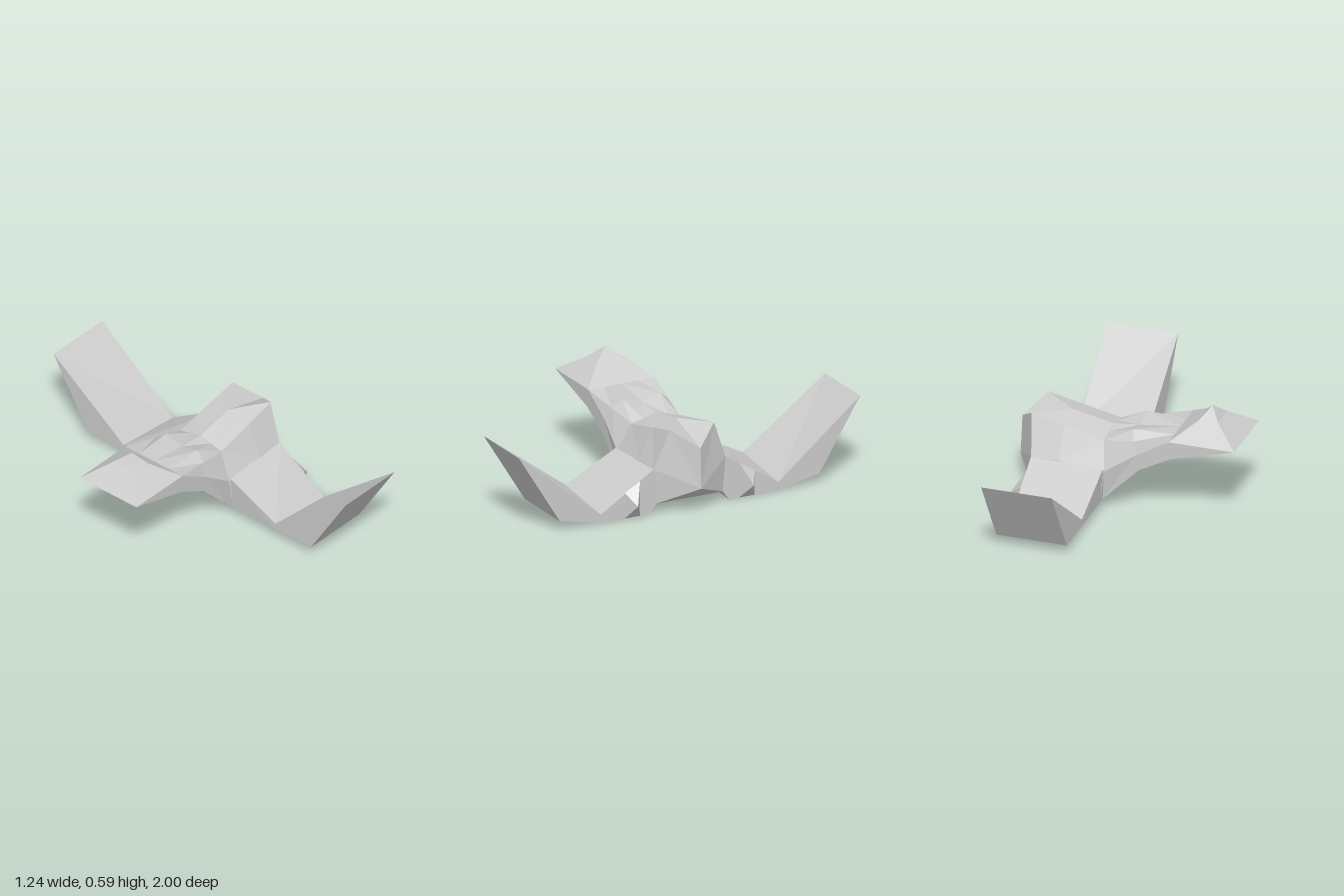
import * as THREE from 'three';

const material = new THREE.MeshStandardMaterial({ color: 0xcccccc, flatShading: true });

// Skins a list of cross-sections (rows of [x, y, z]); side = -1 mirrors across z = 0
function loft(name, rows, { closed = true, cap = false, side = 1 } = {}) {
  const pos = [];
  const tri = (a, b, c) => {
    const corners = (side > 0 ? [a, b, c] : [a, c, b]).map(
      ([x, y, z]) => new THREE.Vector3(x, y, z * side));
    if (new THREE.Triangle(...corners).getArea() < 1e-6) return;
    corners.forEach((v) => pos.push(v.x, v.y, v.z));
  };
  const quad = (a, b, c, d) => { tri(a, b, c); tri(a, c, d); };
  const n = rows[0].length;
  for (let i = 0; i < rows.length - 1; i++) {
    const a = rows[i], b = rows[i + 1];
    for (let j = 0; j < (closed ? n : n - 1); j++) {
      const k = (j + 1) % n;
      quad(a[j], a[k], b[k], b[j]);
    }
  }
  if (cap) quad(...rows[rows.length - 1]);
  const geometry = new THREE.BufferGeometry();
  geometry.setAttribute('position', new THREE.Float32BufferAttribute(pos, 3));
  geometry.computeVertexNormals();
  const mesh = new THREE.Mesh(geometry, material);
  mesh.name = name;
  return mesh;
}

// Half hull, tail to nose: top centre, ridge, shoulder, flank, bottom edge, bottom centre
const hullRows = [
  [[-0.62, 0.437, 0], [-0.62, 0.437, 0.1], [-0.62, 0.437, 0.195], [-0.62, 0.437, 0.195], [-0.62, 0.437, 0.195], [-0.62, 0.437, 0]],
  [[-0.26, 0.437, 0], [-0.26, 0.437, 0.1], [-0.26, 0.437, 0.195], [-0.26, 0.39, 0.195], [-0.27, 0.34, 0.195], [-0.27, 0.34, 0]],
  [[-0.04, 0.41, 0], [-0.04, 0.437, 0.11], [-0.06, 0.395, 0.165], [-0.08, 0.33, 0.195], [-0.1, 0.25, 0.195], [-0.1, 0.25, 0]],
  [[0.11, 0.395, 0], [0.11, 0.378, 0.07], [0.11, 0.36, 0.14], [0.085, 0.22, 0.215], [0.1, 0.05, 0.195], [0.1, 0.05, 0]],
  [[0.33, 0.44, 0], [0.33, 0.44, 0], [0.33, 0.41, 0.135], [0.33, 0.24, 0.215], [0.33, 0.05, 0.195], [0.33, 0.05, 0]],
  [[0.605, 0.36, 0], [0.51, 0.45, 0.13], [0.51, 0.45, 0.13], [0.485, 0.24, 0.21], [0.485, 0.05, 0.195], [0.485, 0.05, 0]],
  [[0.605, 0.36, 0], [0.605, 0.36, 0], [0.605, 0.36, 0], [0.615, 0.14, 0], [0.615, 0.14, 0], [0.615, 0.14, 0]],
];

// Wing, root to upturned tip: back bottom, front bottom, front top, back top
const wingRows = [
  [[0.1, 0.05, 0.195], [0.485, 0.05, 0.195], [0.485, 0.24, 0.21], [0.085, 0.22, 0.215]],
  [[0.1, 0.05, 0.23], [0.485, 0, 0.23], [0.485, 0.235, 0.22], [0.09, 0.235, 0.22]],
  [[0.1, 0.05, 0.51], [0.485, 0, 0.51], [0.485, 0.045, 0.52], [0.1, 0.085, 0.52]],
  [[0.1, 0.05, 0.76], [0.485, 0.05, 0.76], [0.485, 0.437, 1], [0.1, 0.437, 1]],
];

// Spike on the front edge of each wing
const tip = [0.555, 0.08, 0.34];
const spikeRows = [
  [[0.485, 0, 0.38], [0.485, 0, 0.29], [0.485, 0.19, 0.29], [0.485, 0.14, 0.38]],
  [tip, tip, tip, tip],
];

// Four-sided ring for the tail fin
const ring = (x0, x1, y, z) => [[x0, y, z], [x1, y, z], [x1, y, -z], [x0, y, -z]];

export function createModel() {
  const group = new THREE.Group();
  group.name = 'spacecraft';
  for (const [label, side] of [['left', 1], ['right', -1]]) {
    // Names follow the model's own left (+x) only for x; these halves lie at front (+z) and back (-z)
    const place = label === 'left' ? 'front' : 'back';
    group.add(
      loft(`${place}HullHalf`, hullRows, { closed: false, side }),
      loft(`${place}Wing`, wingRows, { cap: true, side }),
      loft(`${place}WingSpike`, spikeRows, { side }),
    );
  }
  // Slightly concave pyramid over the tail
  group.add(loft('tailFin', [
    ring(-0.62, -0.26, 0.437, 0.195),
    ring(-0.49, -0.385, 0.528, 0.075),
    ring(-0.435, -0.435, 0.59, 0),
  ]));
  return group;
}
